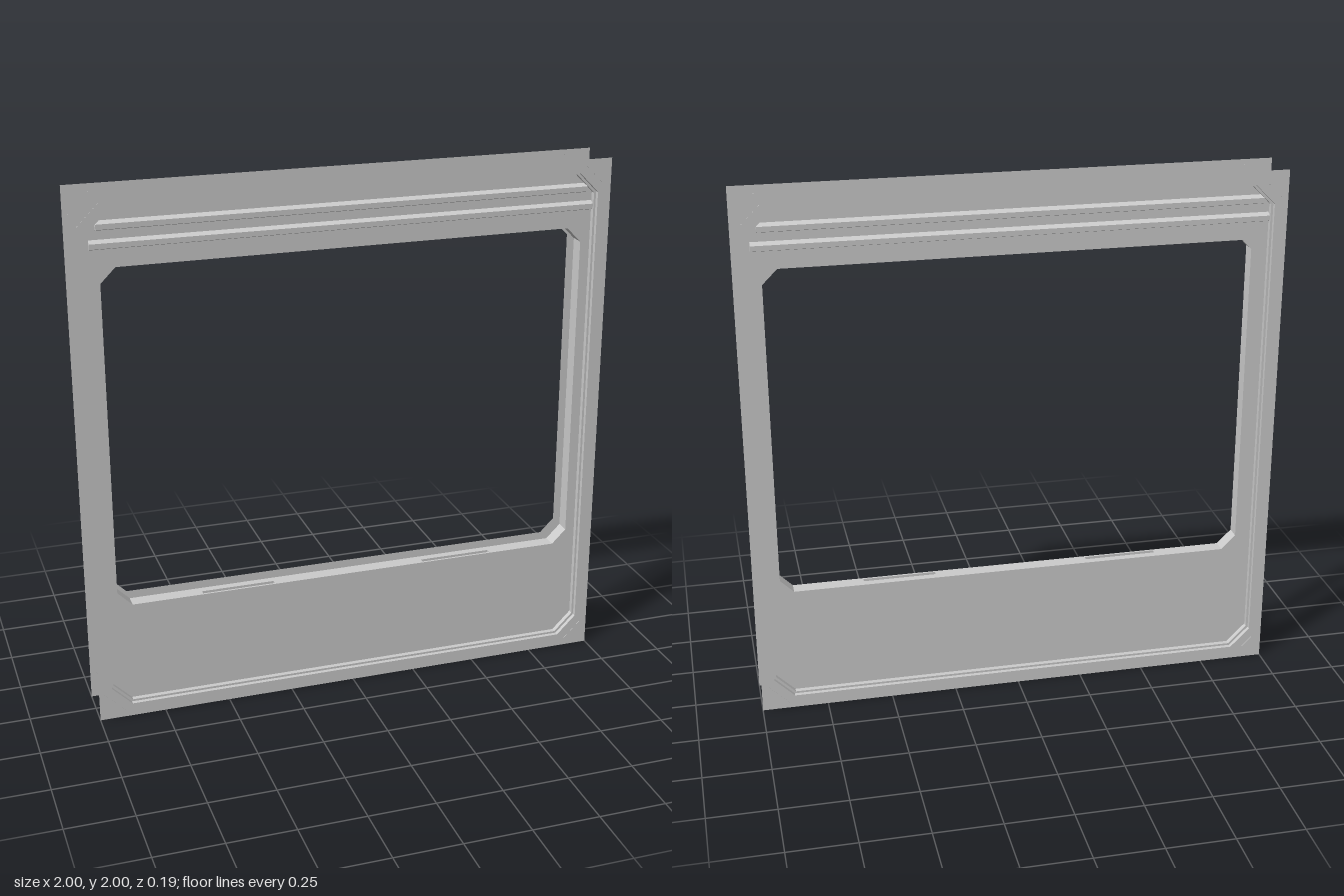
import * as THREE from 'three';

const grey = new THREE.MeshStandardMaterial({ color: 0xcccccc, side: THREE.DoubleSide, flatShading: true });
const FACE = 0.093, PANEL = 0.058, REVEAL = 0.003;

function mesh(name, geometry, parent) {
  const m = new THREE.Mesh(geometry, grey);
  m.name = name;
  parent.add(m);
  return m;
}

// Rectangle with chamfered corners, counter-clockwise from the bottom edge
function chamfered(hw, y0, y1, c) {
  return [[-hw + c, y0], [hw - c, y0], [hw, y0 + c], [hw, y1 - c],
    [hw - c, y1], [-hw + c, y1], [-hw, y1 - c], [-hw, y0 + c]].map(p => new THREE.Vector2(...p));
}

function rectangle(x0, y0, x1, y1) {
  return [[x0, y0], [x1, y0], [x1, y1], [x0, y1]].map(p => new THREE.Vector2(...p));
}

// Flat sheet with cut-outs
function sheet(outline, holes, z = 0) {
  const shape = new THREE.Shape(outline);
  holes.forEach(h => shape.holes.push(new THREE.Path(h)));
  return new THREE.ShapeGeometry(shape).translate(0, 0, z);
}

// Thin wall following a closed outline; edges before "first" are left open
function wall(outline, z0, z1, first = 0) {
  const pos = [];
  for (let i = first; i < outline.length; i++) {
    const a = outline[i], b = outline[(i + 1) % outline.length];
    pos.push(a.x, a.y, z0, b.x, b.y, z0, b.x, b.y, z1, a.x, a.y, z0, b.x, b.y, z1, a.x, a.y, z1);
  }
  const g = new THREE.BufferGeometry();
  g.setAttribute('position', new THREE.Float32BufferAttribute(pos, 3));
  g.computeVertexNormals();
  return g;
}

const recess = chamfered(0.95, 0.05, 1.95, 0.075);
const opening = chamfered(0.905, 0.445, 1.737, 0.055);

// One face of the door: flange, recess, panel and top ribs
function createSkin(name) {
  const g = new THREE.Group();
  g.name = name;
  mesh('outerFlange', sheet(rectangle(-1, 0, 1, 2), [recess], FACE), g);
  mesh('recessWall', wall(recess, PANEL, FACE), g);
  mesh('panel', sheet(recess, [opening], PANEL), g);

  // Narrow ledge inside the recess
  const ledge = chamfered(0.942, 0.058, 1.942, 0.072);
  mesh('recessLedge', sheet(recess, [ledge], 0.077), g);
  mesh('ledgeWall', wall(ledge, PANEL, 0.077), g);

  // Horizontal ribs above the window
  for (const [y, halfWidth] of [[1.803, 0.94], [1.87, 0.915]]) {
    const profile = new THREE.Shape([[PANEL, y], [0.076, y + 0.006], [0.076, y + 0.025], [PANEL, y + 0.035]]
      .map(p => new THREE.Vector2(...p)));
    const rib = new THREE.ExtrudeGeometry(profile, { depth: halfWidth * 2, bevelEnabled: false });
    mesh('topRib', rib.translate(0, 0, -halfWidth).rotateY(-Math.PI / 2), g);
  }

  // Diagonal seams across the flange corners
  for (const sx of [-1, 1]) for (const sy of [-1, 1]) {
    const seam = mesh('cornerSeam', new THREE.BoxGeometry(0.122, 0.002, 0.002), g);
    seam.position.set(sx * 0.938, 1 + sy * 0.938, FACE);
    seam.rotation.z = -sx * sy * Math.PI / 4;
  }
  return g;
}

export function createModel() {
  const model = new THREE.Group();
  model.name = 'windowDoor';
  model.add(createSkin('frontSkin'));
  const back = createSkin('backSkin');
  back.rotation.y = Math.PI;
  model.add(back);

  // Window reveal behind the front panel, with a slotted sill
  const reveal = new THREE.Group();
  reveal.name = 'windowReveal';
  model.add(reveal);
  mesh('revealWall', wall(opening, REVEAL, PANEL, 1), reveal);
  const slots = [-0.44, 0.44].map(x => rectangle(x - 0.14, -0.05, x + 0.14, -0.032));
  const sill = new THREE.Group();
  sill.name = 'sill';
  sill.rotation.x = -Math.PI / 2;
  sill.position.y = 0.445;
  reveal.add(sill);
  mesh('sillTop', sheet(rectangle(-0.85, -PANEL, 0.85, -REVEAL), slots), sill);
  slots.forEach(s => {
    mesh('slotWall', wall(s, -0.012, 0), sill);
    mesh('slotFloor', sheet(s, [], -0.012), sill);
  });
  return model;
}
